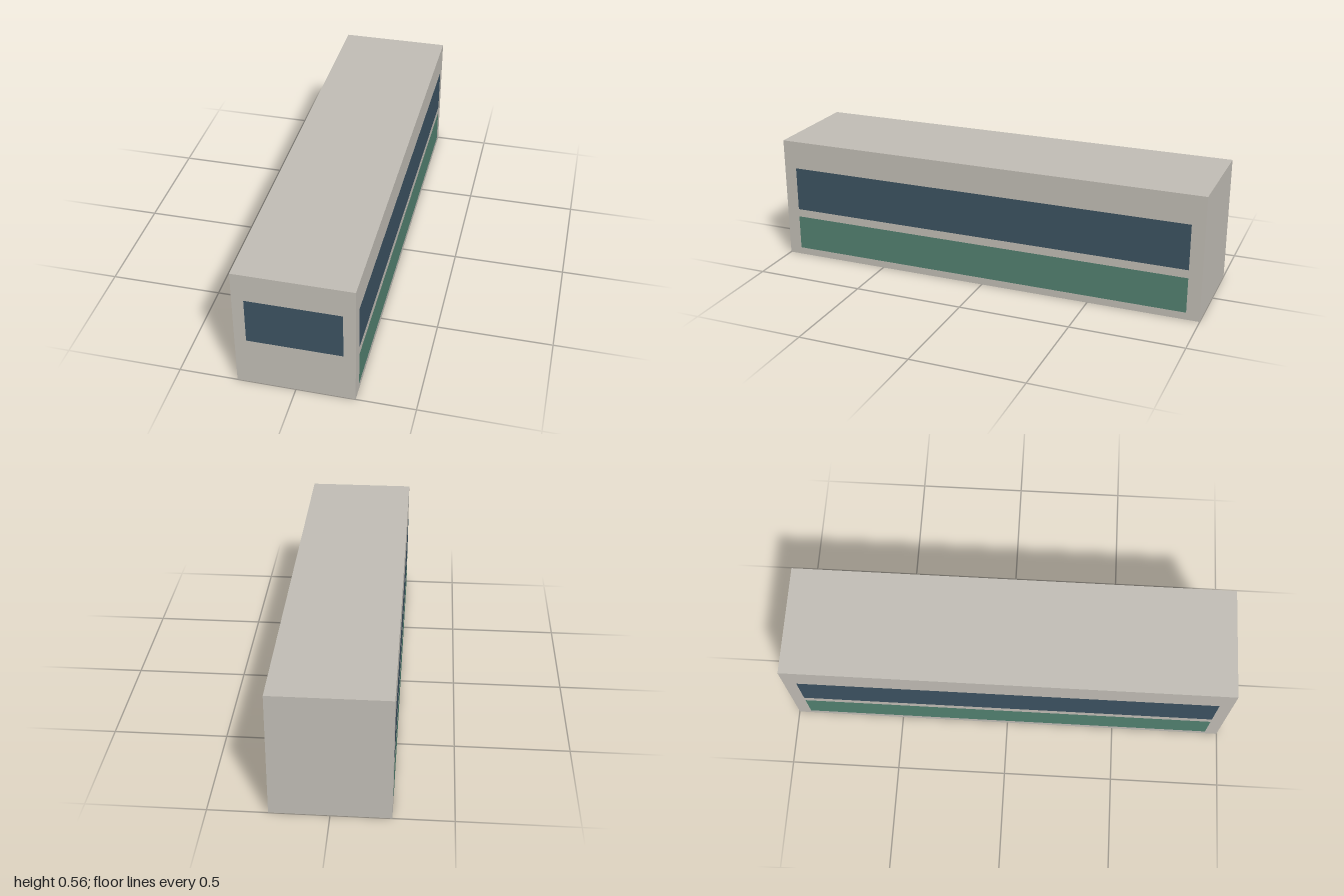
import * as THREE from 'three';

const WIDTH = 0.5, HEIGHT = 0.565, LENGTH = 1.998, GAP = 0.001;

function material(name, color, side = THREE.FrontSide) {
  const m = new THREE.MeshStandardMaterial({ color, side });
  m.name = name;
  return m;
}

export function createModel() {
  const group = new THREE.Group();
  group.name = 'carriage';
  const bodyPaint = material('warm grey', 0xbfbbb3, THREE.DoubleSide);
  const glass = material('dark blue glass', 0x3b5160);
  const stripePaint = material('green', 0x517f6f);

  // Thin body shell, open underneath: a box without its bottom face
  const shell = new THREE.BoxGeometry(WIDTH, HEIGHT, LENGTH);
  const index = Array.from(shell.index.array);
  index.splice(18, 6);
  shell.setIndex(index);
  shell.clearGroups();
  const body = new THREE.Mesh(shell, bodyPaint);
  body.name = 'body';
  body.position.y = HEIGHT / 2;
  group.add(body);

  // Flat painted panel between two heights, turned to face outwards
  function panel(name, width, bottom, top, mat, x, z, turn) {
    const mesh = new THREE.Mesh(new THREE.PlaneGeometry(width, top - bottom), mat);
    mesh.name = name;
    mesh.position.set(x, (bottom + top) / 2, z);
    mesh.rotation.y = turn;
    group.add(mesh);
  }

  // Windscreen on the front end only
  panel('windscreen', 0.4, 0.228, 0.438, glass, 0, LENGTH / 2 + GAP, 0);

  // Window band and lower stripe on both sides
  for (const [label, s] of [['left', 1], ['right', -1]]) {
    const x = s * (WIDTH / 2 + GAP), turn = s * Math.PI / 2;
    panel(label + 'WindowBand', 1.88, 0.23, 0.435, glass, x, 0, turn);
    panel(label + 'Stripe', 1.88, 0.033, 0.193, stripePaint, x, 0, turn);
  }
  return group;
}
